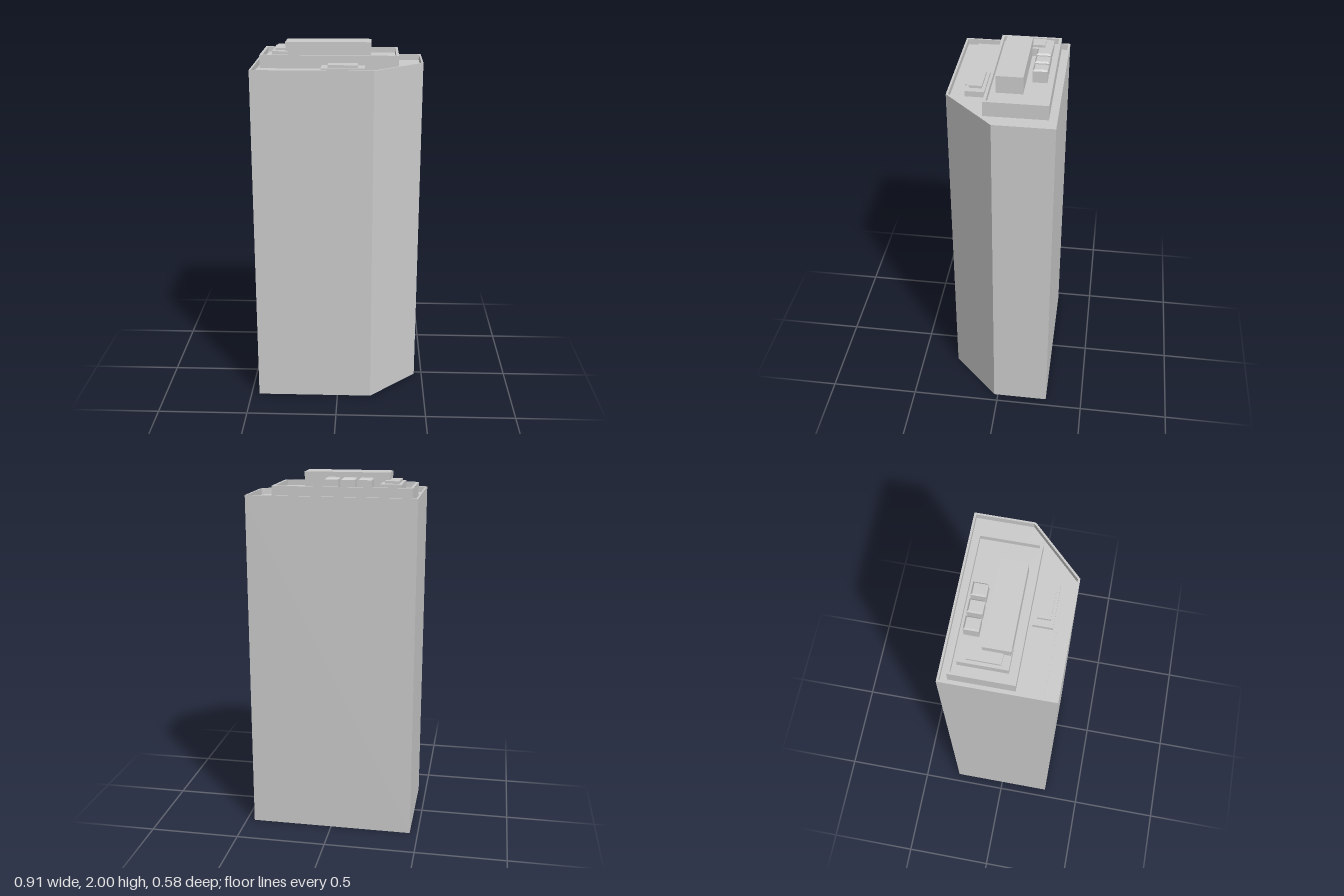
import * as THREE from 'three';

const material = new THREE.MeshStandardMaterial({ color: 0xcccccc, flatShading: true });

// Plan outline given as [x, z] corners
const outline = (pts, Type = THREE.Shape) => new Type(pts.map(([x, z]) => new THREE.Vector2(x, -z)));
const rect = (x0, x1, z0, z1) => [[x0, z0], [x0, z1], [x1, z1], [x1, z0]];

export function createModel() {
  const model = new THREE.Group();

  const add = (parent, name, geometry) => {
    const mesh = new THREE.Mesh(geometry, material);
    mesh.name = name;
    parent.add(mesh);
    return mesh;
  };

  // Vertical prism from a plan, optionally with an opening
  const prism = (parent, name, pts, y0, y1, hole) => {
    const shape = outline(pts);
    if (hole) shape.holes.push(outline(hole, THREE.Path));
    const geometry = new THREE.ExtrudeGeometry(shape, { depth: y1 - y0, bevelEnabled: false });
    geometry.rotateX(-Math.PI / 2).translate(0, y0, 0);
    return add(parent, name, geometry);
  };

  const box = (parent, name, x0, x1, y0, y1, z0, z1) => {
    const geometry = new THREE.BoxGeometry(x1 - x0, y1 - y0, z1 - z0);
    geometry.translate((x0 + x1) / 2, (y0 + y1) / 2, (z0 + z1) / 2);
    return add(parent, name, geometry);
  };

  // Tower with one cut corner and a thin parapet round a sunken roof
  const plan = [[-0.455, -0.29], [-0.455, 0.288], [0.19, 0.288], [0.455, 0.022], [0.455, -0.29]];
  const inner = [[-0.445, -0.279], [-0.445, 0.277], [0.185, 0.277], [0.445, 0.017], [0.445, -0.279]];
  const roofY = 1.857, parapetY = 1.89;
  prism(model, 'tower', plan, 0, roofY);
  prism(model, 'parapet', plan, roofY, parapetY, inner);

  // Raised upper storey with its own parapet
  const upper = rect(-0.424, 0.322, -0.244, 0.083);
  const deckY = 1.907;
  prism(model, 'upperStorey', upper, roofY, deckY);
  prism(model, 'upperParapet', upper, deckY, 1.936, rect(-0.409, 0.307, -0.23, 0.068));

  // Plant room and stepped housing on the upper deck
  box(model, 'plantRoom', -0.288, 0.173, deckY, 2, -0.101, 0.037);
  const housing = new THREE.Group();
  housing.name = 'steppedHousing';
  model.add(housing);
  box(housing, 'housingBase', -0.361, -0.249, deckY, 1.95, -0.209, 0.039);
  box(housing, 'housingTop', -0.344, -0.268, 1.95, 1.963, -0.167, 0.001);

  // Row of three cooling units, each with a bevelled top
  for (let i = 0; i < 3; i++) {
    const x = -0.171 + i * 0.0895, z = -0.171;
    const unit = new THREE.Group();
    unit.name = 'coolingUnit';
    model.add(unit);
    box(unit, 'unitBody', x - 0.035, x + 0.035, deckY, 1.97, z - 0.038, z + 0.038);
    const cap = new THREE.BoxGeometry(0.07, 0.008, 0.076);
    const p = cap.attributes.position;
    for (let v = 0; v < p.count; v++) {
      if (p.getY(v) > 0) p.setXYZ(v, p.getX(v) * 0.79, p.getY(v), p.getZ(v) * 0.79);
    }
    cap.computeVertexNormals();
    add(unit, 'unitCap', cap.translate(x, 1.974, z));
  }

  // Low slab and stepped vent on the front strip of the main roof
  box(model, 'roofSlab', -0.441, 0.029, roofY, 1.866, 0.083, 0.219);
  const vent = new THREE.Group();
  vent.name = 'roofVent';
  model.add(vent);
  box(vent, 'ventBase', -0.09, 0.141, roofY, 1.887, 0.101, 0.201);
  box(vent, 'ventTop', -0.054, 0.104, 1.887, 1.901, 0.118, 0.185);

  return model;
}
